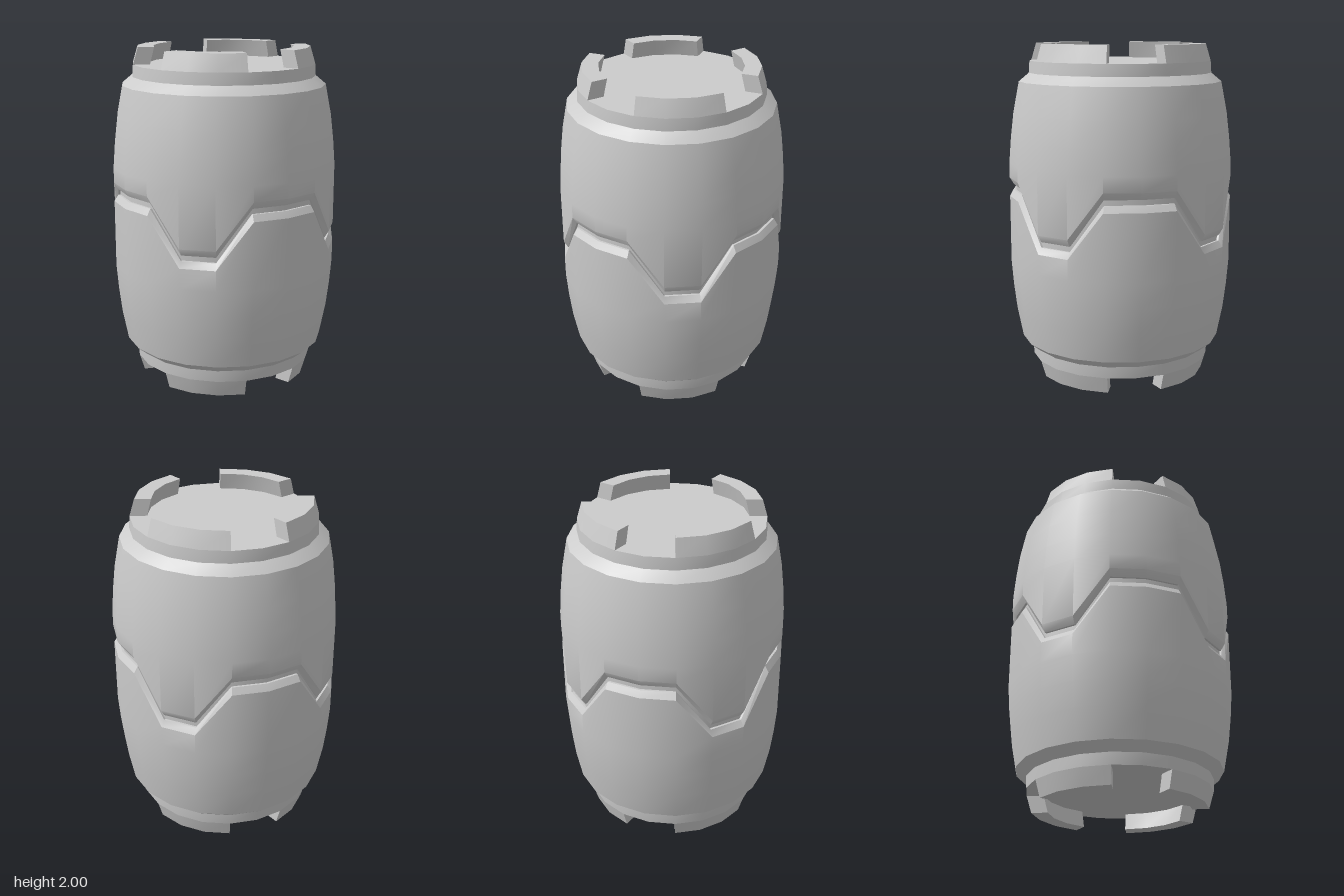
import * as THREE from 'three';
import { toCreasedNormals } from 'three/addons/utils/BufferGeometryUtils.js';

const SIDES = 20;
const material = new THREE.MeshStandardMaterial({ color: 0xcccccc });

// Zigzag seam: three high corners, then two low ones, in each quarter turn
const seam = (offset) => (k) => (((k % 5) + 5) % 5 < 3 ? 1.15 : 0.875) + offset;

// Rows of [radius, height or height(k)], swept from corner k0 to corner k1.
// Rows run upwards on an outside surface; capped closes the cross-section ends.
function loft(name, rows, k0 = 0, k1 = SIDES, capped = false) {
  const positions = [];
  const point = ([r, y], k) => {
    const a = ((k % SIDES) * Math.PI * 2) / SIDES;
    return [r * Math.sin(a), typeof y === 'function' ? y(k) : y, r * Math.cos(a)];
  };
  const quad = (a, b, c, d) => positions.push(...a, ...b, ...c, ...a, ...c, ...d);
  for (let i = 0; i < rows.length - 1; i++) {
    for (let k = k0; k < k1; k++) {
      const a = point(rows[i], k), b = point(rows[i], k + 1);
      const c = point(rows[i + 1], k + 1), d = point(rows[i + 1], k);
      if (rows[i][0] === 0) positions.push(...a, ...c, ...d);
      else if (rows[i + 1][0] === 0) positions.push(...a, ...b, ...c);
      else quad(a, b, c, d);
    }
  }
  if (capped) {
    quad(...rows.map((row) => point(row, k0)));
    quad(...rows.map((row) => point(row, k1)).reverse());
  }
  const geometry = new THREE.BufferGeometry();
  geometry.setAttribute('position', new THREE.Float32BufferAttribute(positions, 3));
  const mesh = new THREE.Mesh(toCreasedNormals(geometry, 0.55), material);
  mesh.name = name;
  return mesh;
}

// Flip rows about the middle height, keeping the surface facing outwards
const flip = (rows) => rows.map(([r, y]) => [r, 2 - y]).reverse();

export function createModel() {
  const model = new THREE.Group();
  model.name = 'barrel';

  // Bulging wall and sloped shoulder
  const wall = [[0.67, 1.3], [0.658, 1.45], [0.64, 1.6], [0.605, 1.78], [0.545, 1.83]];
  // Bevelled lips on both sides of the seam
  const upperLip = [[0.63, seam(0.018)], [0.645, seam(0.018)], [0.67, seam(0.06)]];
  const lowerLip = [[0.67, seam(-0.052)], [0.645, seam(-0.015)], [0.63, seam(-0.015)]];
  model.add(loft('upperShell', [...upperLip, ...wall]));
  model.add(loft('lowerShell', [...flip(wall), ...lowerLip]));

  // Core seen at the bottom of the groove
  model.add(loft('seamCore', [[0.632, 0.75], [0.632, 1.25]]));

  // Necks with flat ends
  const neck = [[0.545, 1.83], [0.54, 1.9], [0, 1.9]];
  model.add(loft('topNeck', neck), loft('bottomNeck', flip(neck)));

  // Four inward-leaning rim lugs on each end
  const lug = [[0.54, 1.9], [0.51, 2], [0.414, 2], [0.44, 1.9]];
  for (let i = 0; i < 4; i++) {
    const k = i * 5 + 2;
    model.add(loft('topLug', lug, k, k + 3, true));
    model.add(loft('bottomLug', flip(lug), k, k + 3, true));
  }
  return model;
}
